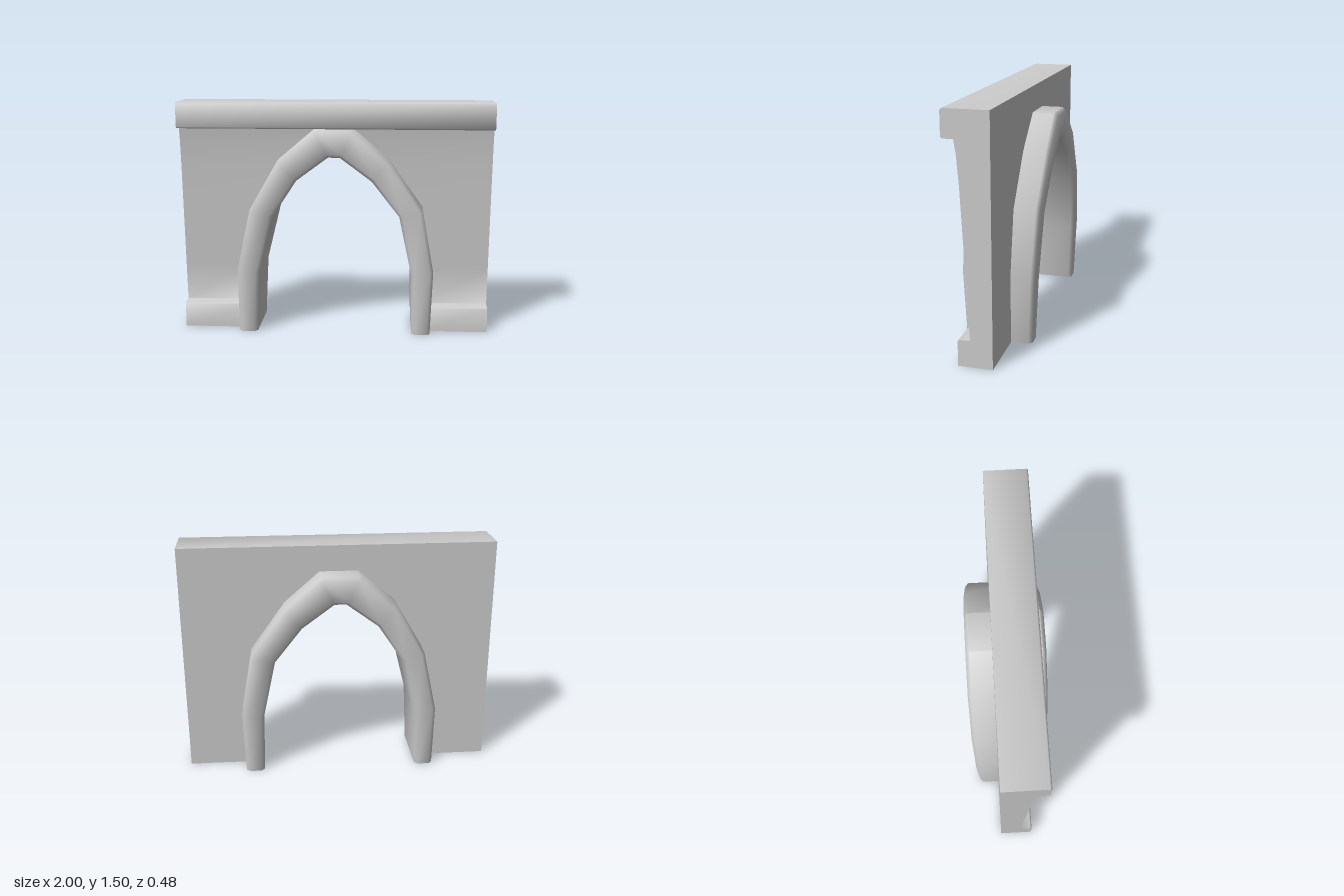
import * as THREE from 'three';
import { toCreasedNormals } from 'three/addons/utils/BufferGeometryUtils.js';

const material = new THREE.MeshStandardMaterial({ color: 0xcccccc });
const BACK = -0.08;

// Closed solid through rings of [x, y, z], each counter-clockwise seen from the far end
function loft(rings, crease) {
  const n = rings[0].length, last = (rings.length - 1) * n, index = [];
  for (let r = 0; r < rings.length - 1; r++) {
    for (let i = 0; i < n; i++) {
      const a = r * n + i, b = r * n + (i + 1) % n;
      index.push(a, b, b + n, a, b + n, a + n);
    }
  }
  for (let i = 1; i < n - 1; i++) {
    index.push(0, i + 1, i, last, last + i, last + i + 1);
  }
  const geometry = new THREE.BufferGeometry();
  geometry.setAttribute('position', new THREE.Float32BufferAttribute(rings.flat(2), 3));
  geometry.setIndex(index);
  return toCreasedNormals(geometry, crease);
}

// Half width of the wall opening, hidden inside the thickness of the arch
function openingAt(y) {
  const path = [[0.56, 0], [0.565, 0.41], [0.48, 0.81], [0.29, 1.075], [0, 1.25]];
  for (let i = 1; i < path.length; i++) {
    const [x0, y0] = path[i - 1], [x1, y1] = path[i];
    if (y <= y1) return THREE.MathUtils.lerp(x0, x1, (y - y0) / (y1 - y0));
  }
  return 0;
}

// Wall half with plinth: [front z, y] rows, the face leaning forward as it rises
function wallHalf(side) {
  const rows = [[0.13, 0], [0.13, 0.155], [0.12, 0.165], [0.062, 0.165], [0.055, 0.173],
    [0.066, 0.41], [0.076, 0.62], [0.086, 0.81], [0.099, 1.075], [0.113, 1.25], [0.126, 1.335]];
  const rings = rows.map(([z, y]) => {
    const inner = side * openingAt(y);
    const ring = [[side, y, z], [side, y, BACK], [inner, y, BACK], [inner, y, z]];
    return side > 0 ? ring : ring.reverse();
  });
  return loft(rings, 0.9);
}

// Coping: slightly bevelled bar along the top
function coping() {
  const b = 0.01, front = 0.2, low = 1.335, high = 1.5;
  const shape = new THREE.Shape([[-BACK, low], [-BACK, high], [b - front, high], [-front, high - b],
    [-front, low + b], [b - front, low]].map(([x, y]) => new THREE.Vector2(x, y)));
  const geometry = new THREE.ExtrudeGeometry(shape, { depth: 2, bevelEnabled: false });
  geometry.translate(0, 0, -1).rotateY(Math.PI / 2);
  return toCreasedNormals(geometry, 0.9);
}

// Arch: chamfered section swept from one foot over to the other, wider in the middle
function arch() {
  // inner x, inner y, outer x, outer y, half depth
  const stations = [
    [0.505, 0, 0.625, 0, 0.21], [0.497, 0.4, 0.638, 0.42, 0.226], [0.415, 0.785, 0.563, 0.83, 0.238],
    [0.24, 1.01, 0.343, 1.14, 0.242], [0.037, 1.16, 0.12, 1.335, 0.24],
    [-0.037, 1.16, -0.125, 1.335, 0.24], [-0.24, 1.01, -0.355, 1.14, 0.242],
    [-0.395, 0.775, -0.54, 0.82, 0.238], [-0.487, 0.4, -0.63, 0.41, 0.226], [-0.505, 0, -0.625, 0, 0.21],
  ];
  const rings = stations.map(([ix, iy, ox, oy, h]) => {
    const c = 0.022, t = c / Math.hypot(ox - ix, oy - iy);
    const at = (k, z) => [ix + (ox - ix) * k, iy + (oy - iy) * k, z];
    return [at(1, h - c), at(1, c - h), at(1 - t, -h), at(t, -h),
      at(0, c - h), at(0, h - c), at(t, h), at(1 - t, h)];
  });
  return loft(rings, 0.9);
}

export function createModel() {
  const model = new THREE.Group();
  const add = (name, geometry) => {
    const mesh = new THREE.Mesh(geometry, material);
    mesh.name = name;
    model.add(mesh);
  };
  add('leftWall', wallHalf(1));
  add('rightWall', wallHalf(-1));
  add('coping', coping());
  add('arch', arch());
  return model;
}
